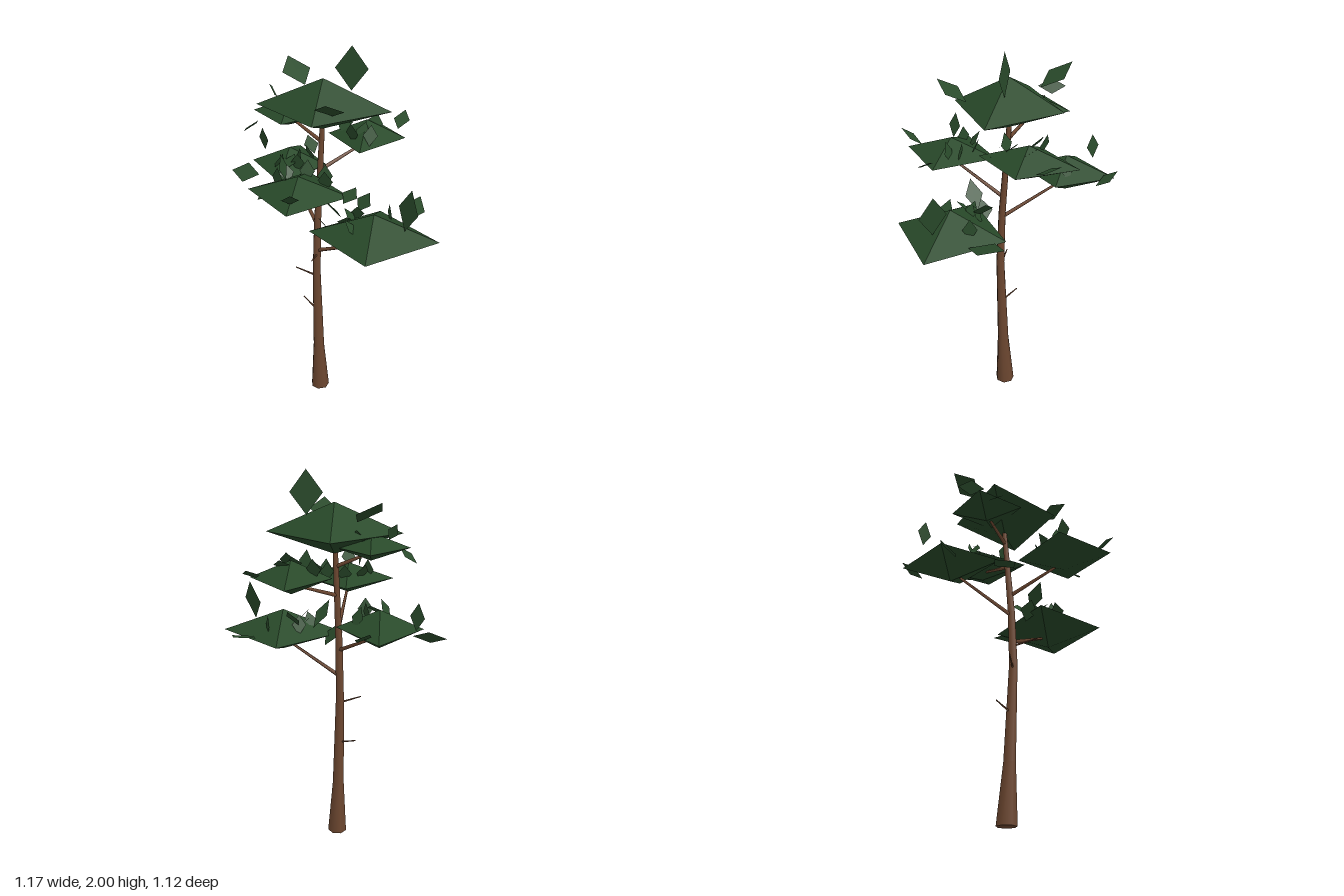
import * as THREE from 'three';

const material = (name, color, side = THREE.FrontSide) => {
  const m = new THREE.MeshStandardMaterial({ color, side });
  m.name = name;
  return m;
};

// Trunk path with radius: x, y, z, r
const TRUNK = [
  [-0.048, 0, -0.017, 0.052], [-0.052, 0.3, -0.003, 0.031], [-0.057, 0.8, 0.016, 0.022],
  [-0.052, 1.1, 0.005, 0.019], [-0.03, 1.7, -0.045, 0.012],
];

// Foliage clumps: centre, half widths in x and z, height above and below the rim,
// and the height at which the branch leaves the trunk
const CLUMPS = {
  crown: [-0.028, 1.7, -0.035, 0.334, 0.278, 0.146, 0.105, 1.55],
  lowerLeft: [0.26, 1.125, 0.163, 0.324, 0.288, 0.122, 0.1, 0.93],
  front: [-0.082, 1.395, 0.294, 0.243, 0.246, 0.083, 0.08, 1.2],
  backLeft: [0.166, 1.512, -0.2, 0.198, 0.247, 0.085, 0.08, 1.38],
  backRight: [-0.26, 1.297, -0.277, 0.207, 0.257, 0.09, 0.1, 1.08],
  upperRight: [-0.21, 1.645, -0.105, 0.187, 0.19, 0.07, 0.065, 1.53],
};

// Large leaf cards: centre, half width across, half length uphill,
// heading and elevation of the side they face
const CARDS = [
  [0.105, 1.893, -0.06, 0.08, 0.107, 0, 0],
  [-0.2, 1.825, -0.22, 0.08, 0.1, 0.74, 1],
  [0.05, 1.775, 0.225, 0.07, 0.09, 3.1, 1],
  [0.43, 1.17, -0.085, 0.067, 0.11, -0.3, 1.3],
  [0.425, 1.29, 0.18, 0.07, 0.105, -0.78, 0.15],
  [0.05, 1.24, 0.12, 0.047, 0.085, 2.3, 0.66],
  [0.19, 1.24, 0.02, 0.055, 0.055, -0.8, 0.7],
  [0, 1.13, 0.09, 0.05, 0.06, 2.2, 0.6],
  [-0.5, 1.24, -0.23, 0.083, 0.058, -0.2, 0.8],
  [-0.43, 1.385, -0.375, 0.04, 0.065, 2.5, 0.1],
  [-0.19, 1.32, -0.505, 0.043, 0.067, 0.55, 1],
  [0.33, 1.56, -0.34, 0.043, 0.07, -0.2, 1.1],
  [0.2, 1.575, -0.22, 0.05, 0.055, -0.3, 0.9],
  [-0.07, 1.46, 0.51, 0.04, 0.07, -2.9, 0.87],
  [-0.15, 1.52, 0.3, 0.035, 0.065, 1.3, 0.2],
  [0.165, 1.42, 0.33, 0.045, 0.05, -0.6, 1],
  [-0.3, 1.25, 0.01, 0.065, 0.08, -0.7, 1.3],
  [-0.39, 1.59, -0.02, 0.045, 0.06, -1.95, 0.9],
  [-0.31, 1.73, -0.17, 0.07, 0.04, 1.9, 0.5],
];

// Dead twigs: height on the trunk, then reach in x, y and z
const TWIGS = [
  [0.545, -0.09, 0.04, -0.06], [0.775, -0.113, 0.04, 0], [0.905, 0, 0.035, 0.13],
];

// Centre of the trunk at a given height
function trunkAt(y) {
  const i = TRUNK.findIndex((ring) => ring[1] > y);
  const [a, b] = [TRUNK[i - 1], TRUNK[i]].map(([px, py, pz]) => new THREE.Vector3(px, py, pz));
  return a.lerp(b, (y - a.y) / (b.y - a.y));
}

// Cylinder whose rings are moved onto the trunk path
function trunkGeometry() {
  const last = TRUNK.length - 1;
  const g = new THREE.CylinderGeometry(1, 1, last, 7, last);
  const p = g.attributes.position;
  for (let i = 0; i < p.count; i++) {
    const [x, y, z, r] = TRUNK[Math.round(p.getY(i) + last / 2)];
    p.setXYZ(i, x + p.getX(i) * r, y, z + p.getZ(i) * r);
  }
  return g;
}

// Flattened octahedron with a different height above and below its rim
function clumpGeometry(rx, rz, up, down) {
  const g = new THREE.OctahedronGeometry(1);
  const p = g.attributes.position;
  for (let i = 0; i < p.count; i++) {
    const y = p.getY(i);
    p.setXYZ(i, p.getX(i) * rx, y * (y > 0 ? up : down), p.getZ(i) * rz);
  }
  g.computeVertexNormals();
  return g;
}

export function createModel() {
  const bark = material('bark', 0x6e4831);
  const needles = material('needles', 0x284929);
  const leaf = material('leaf', 0x2a4b2b, THREE.DoubleSide);
  const diamond = new THREE.CircleGeometry(1, 4);

  let seed = 11;
  const random = () => (seed = (seed * 16807) % 2147483647) / 2147483647;

  const model = new THREE.Group();
  model.name = 'pineTree';
  const add = (name, geometry, mat) => {
    const mesh = new THREE.Mesh(geometry, mat);
    mesh.name = name;
    model.add(mesh);
    return mesh;
  };

  // Tapered limb between two points
  const addLimb = (name, start, end, r0, r1) => {
    const dir = end.clone().sub(start);
    const mesh = add(name, new THREE.CylinderGeometry(r1, r0, dir.length(), 5), bark);
    mesh.position.copy(start).lerp(end, 0.5);
    mesh.quaternion.setFromUnitVectors(new THREE.Vector3(0, 1, 0), dir.normalize());
  };

  // Flat diamond leaning back by its elevation, then turned to its heading
  const addCard = (name, [x, y, z, across, uphill, heading, elevation]) => {
    const mesh = add(name, diamond, leaf);
    mesh.position.set(x, y, z);
    mesh.scale.set(across, uphill, 1);
    mesh.rotation.set(-elevation, heading, 0, 'YXZ');
  };

  add('trunk', trunkGeometry(), bark);
  for (const [y, ...reach] of TWIGS) {
    const start = trunkAt(y);
    addLimb('twig', start, start.clone().add(new THREE.Vector3(...reach)), 0.006, 0.003);
  }

  for (const [name, [x, y, z, rx, rz, up, down, fork]] of Object.entries(CLUMPS)) {
    add(name + 'Clump', clumpGeometry(rx, rz, up, down), needles).position.set(x, y, z);
    addLimb(name + 'Branch', trunkAt(fork), new THREE.Vector3(x, y - down * 0.4, z), 0.011, 0.006);

    // Small cards fanned over the slope of each side clump that faces the trunk
    const inward = Math.atan2(-0.04 - x, -z);
    for (let i = 0; name !== 'crown' && i < 5; i++) {
      const turn = inward + (i - 2 + random() - 0.5) * 0.6;
      const out = 0.35 + random() * 0.3;
      addCard('smallLeafCard', [
        x + Math.sin(turn) * rx * out, y + up * 0.4 + 0.02, z + Math.cos(turn) * rz * out,
        0.037, 0.055, random() * 6.28, random(),
      ]);
    }
  }
  CARDS.forEach((card) => addCard('leafCard', card));
  return model;
}
